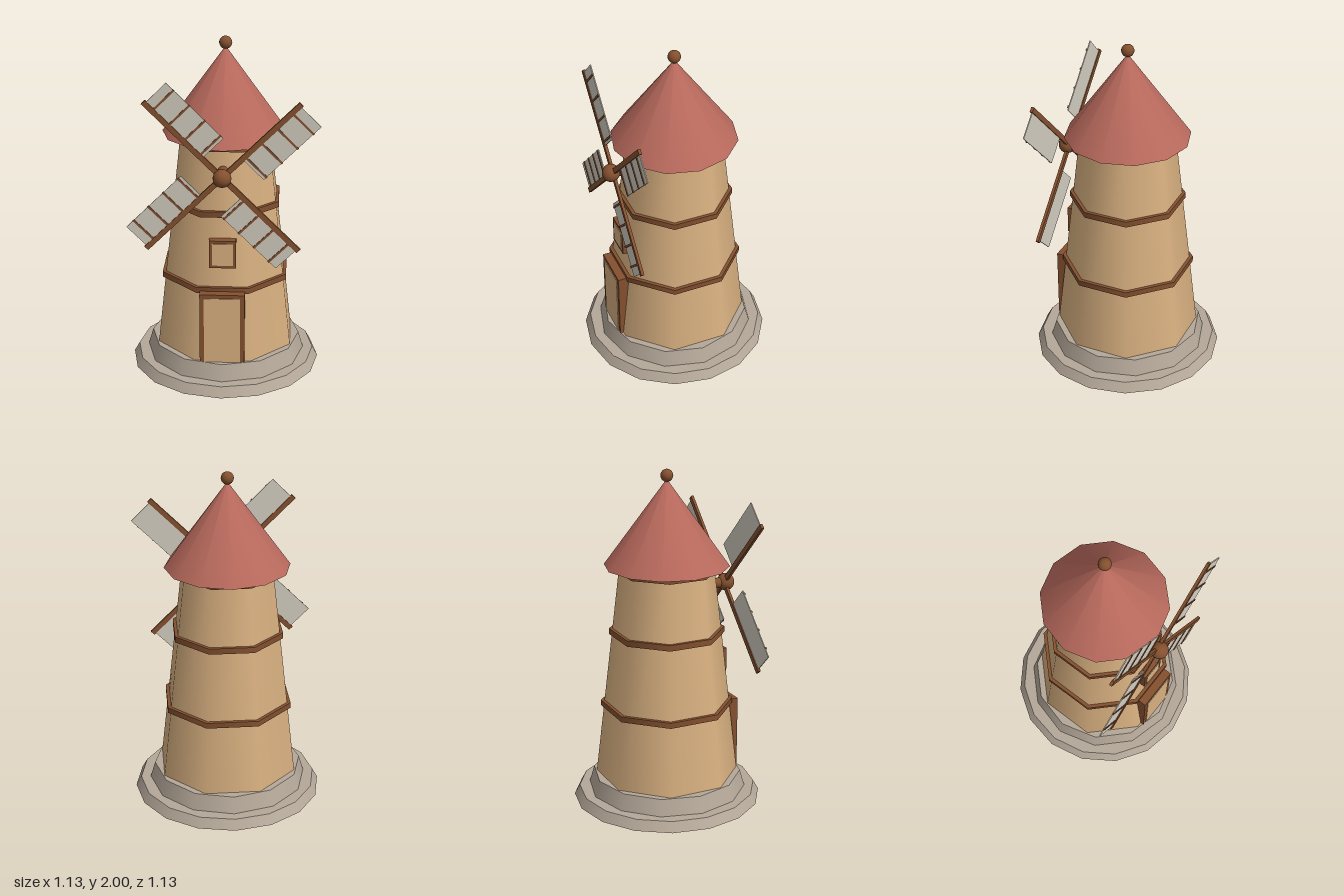
import * as THREE from 'three';

const mat = (name, color) => {
  const m = new THREE.MeshStandardMaterial({ color });
  m.name = name;
  return m;
};

export function createModel() {
  const stone = mat('stone', 0xb5a899);
  const plaster = mat('plaster', 0xd8b080);
  const wood = mat('wood', 0x84502f);
  const tile = mat('roofTile', 0xb8695c);
  const cloth = mat('sailCloth', 0xd2ccbf);

  const model = new THREE.Group();
  model.name = 'windmill';

  const add = (parent, name, geometry, material, x = 0, y = 0, z = 0) => {
    const mesh = new THREE.Mesh(geometry, material);
    mesh.name = name;
    mesh.position.set(x, y, z);
    parent.add(mesh);
    return mesh;
  };
  const box = (w, h, d) => new THREE.BoxGeometry(w, h, d);

  // Tapered ring or drum standing between two heights
  const drum = (name, rBottom, rTop, y0, y1, sides, material) =>
    add(model, name, new THREE.CylinderGeometry(rTop, rBottom, y1 - y0, sides), material, 0, (y0 + y1) / 2);

  // Octagonal drum with flats to front and sides, measured across its flats
  const octagon = (name, halfBottom, halfTop, y0, y1, material) => {
    const k = 1 / Math.cos(Math.PI / 8);
    drum(name, halfBottom * k, halfTop * k, y0, y1, 8, material).geometry.rotateY(Math.PI / 8);
  };

  // Stepped stone base
  drum('lowerBase', 0.565, 0.533, 0, 0.058, 16, stone);
  drum('upperBase', 0.475, 0.446, 0.058, 0.155, 12, stone);

  // Tower and its wooden bands
  octagon('tower', 0.395, 0.255, 0.15, 1.44, plaster);
  [[0.365, 0.576, 0.61], [0.315, 1.025, 1.06], [0.275, 1.405, 1.438]].forEach(
    ([half, y0, y1], i) => octagon(`band${i + 1}`, half, half, y0, y1, wood));

  // Roof with a ball on top
  add(model, 'roof', new THREE.ConeGeometry(0.367, 0.505, 12), tile, 0, 1.6925, 0);
  add(model, 'finial', new THREE.SphereGeometry(0.037, 16, 12), wood, 0, 1.965, 0);

  // Door and window: a wooden block with a plaster coloured panel
  const opening = (name, w, y0, y1, zFront, zBack, panelY0, panelY1, panelW) => {
    const g = new THREE.Group();
    g.name = name;
    model.add(g);
    add(g, name + 'Frame', box(w, y1 - y0, zFront - zBack), wood, 0, (y0 + y1) / 2, (zFront + zBack) / 2);
    add(g, name + 'Panel', box(panelW, panelY1 - panelY0, 0.008), plaster,
      0, (panelY0 + panelY1) / 2, zFront);
  };
  opening('door', 0.26, 0.155, 0.587, 0.415, 0.3, 0.157, 0.564, 0.21);
  opening('window', 0.154, 0.733, 0.9, 0.362, 0.26, 0.75, 0.883, 0.12);

  // Axle and hub
  const rotor = new THREE.Group();
  rotor.name = 'rotor';
  rotor.position.set(0, 1.29, 0);
  model.add(rotor);
  add(rotor, 'axle', new THREE.CylinderGeometry(0.031, 0.031, 0.2, 12).rotateX(Math.PI / 2), wood, 0, 0, 0.29);
  add(rotor, 'hub', new THREE.SphereGeometry(0.052, 20, 14), wood, 0, 0, 0.39);

  // Four blades, each an arm with a cloth sail and cross slats on one side
  for (let i = 0; i < 4; i++) {
    const blade = new THREE.Group();
    blade.name = `blade${i + 1}`;
    blade.rotation.z = Math.PI / 4 + (i * Math.PI) / 2;
    rotor.add(blade);
    add(blade, 'arm', box(0.61, 0.03, 0.017), wood, 0.305, 0, 0.379);
    add(blade, 'sail', box(0.44, 0.155, 0.006), cloth, 0.378, -0.09, 0.379);
    for (const x of [0.18, 0.3, 0.42, 0.54]) {
      add(blade, 'slat', box(0.012, 0.17, 0.009), wood, x, -0.085, 0.382);
    }
  }
  return model;
}
